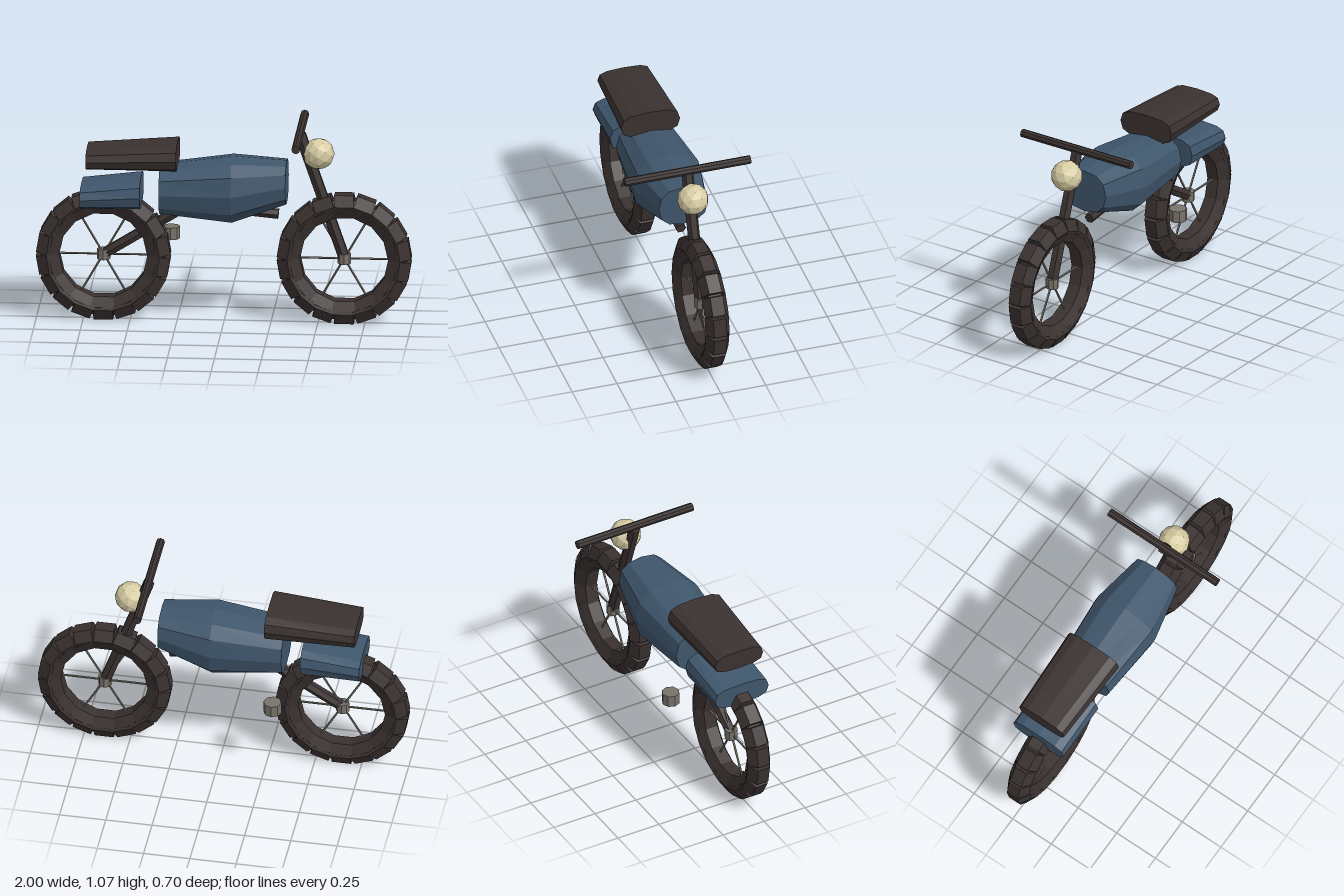
import * as THREE from 'three';

const flat = (name, color) => {
  const m = new THREE.MeshStandardMaterial({ color, flatShading: true });
  m.name = name;
  return m;
};

export function createModel() {
  const rubber = flat('dark rubber', 0x3a3230);
  const paint = flat('blue paint', 0x3f566c);
  const metal = flat('grey metal', 0x78736a);
  const lens = flat('pale lens', 0xd8cda4);
  const root = new THREE.Group();
  root.name = 'motorcycle';

  const add = (parent, name, geo, mat, x = 0, y = 0, z = 0) => {
    const mesh = new THREE.Mesh(geo, mat);
    mesh.name = name;
    mesh.position.set(x, y, z);
    parent.add(mesh);
    return mesh;
  };

  // Straight round bar between two points
  const bar = (parent, name, a, b, r, mat, sides = 6) => {
    const p = new THREE.Vector3(...a), q = new THREE.Vector3(...b);
    const mesh = add(parent, name, new THREE.CylinderGeometry(r, r, p.distanceTo(q), sides), mat);
    mesh.position.copy(p).add(q).multiplyScalar(0.5);
    mesh.quaternion.setFromUnitVectors(new THREE.Vector3(0, 1, 0), q.sub(p).normalize());
    return mesh;
  };

  // Closed body lofted along x; sections are [x, centreY, halfHeight, halfWidth]
  const loft = (sections, power, sides = 12) => {
    const pos = [], idx = [];
    const soft = (v) => Math.sign(v) * Math.pow(Math.abs(v), power);
    for (const [x, cy, hh, hw] of sections) {
      for (let i = 0; i < sides; i++) {
        const a = (i / sides) * Math.PI * 2;
        pos.push(x, cy + hh * soft(Math.sin(a)), hw * soft(Math.cos(a)));
      }
    }
    const last = (sections.length - 1) * sides;
    for (let s = 0; s < last; s += sides) {
      for (let i = 0; i < sides; i++) {
        const j = (i + 1) % sides;
        idx.push(s + i, s + sides + i, s + j, s + j, s + sides + i, s + sides + j);
      }
    }
    for (let i = 1; i < sides - 1; i++) {
      idx.push(0, i, i + 1, last, last + i + 1, last + i);
    }
    const geo = new THREE.BufferGeometry();
    geo.setAttribute('position', new THREE.Float32BufferAttribute(pos, 3));
    geo.setIndex(idx);
    geo.computeVertexNormals();
    return geo;
  };

  // Tyre ring: six-sided section turned round the axle
  const ring = [[0.235, -0.035], [0.29, -0.062], [0.335, -0.035], [0.335, 0.035], [0.29, 0.062], [0.235, 0.035], [0.235, -0.035]];
  const tyreGeo = new THREE.LatheGeometry(ring.map(([r, z]) => new THREE.Vector2(r, z)), 14);
  tyreGeo.rotateX(Math.PI / 2).rotateZ(Math.PI / 14);

  // Chamfered tread block, pointing along +y
  const blockShape = new THREE.Shape(
    [[-0.06, 0.28], [0.06, 0.28], [0.067, 0.297], [0.035, 0.355], [-0.035, 0.355], [-0.067, 0.297]]
      .map(([x, y]) => new THREE.Vector2(x, y)));
  const blockGeo = new THREE.ExtrudeGeometry(blockShape, { depth: 0.104, bevelEnabled: false });
  blockGeo.translate(0, 0, -0.052).rotateY(Math.PI / 2);

  const wheel = (name, x) => {
    const g = new THREE.Group();
    g.name = name;
    g.position.set(x, 0.355, 0);
    root.add(g);
    add(g, 'tyre', tyreGeo, rubber);
    for (let i = 0; i < 18; i++) {
      add(g, 'treadBlock', blockGeo, rubber).rotation.z = (i / 18) * Math.PI * 2;
    }
    for (let i = 0; i < 6; i++) {
      const a = (i / 6) * Math.PI * 2;
      bar(g, 'spoke', [0, 0, 0], [0.24 * Math.cos(a), 0.24 * Math.sin(a), 0], 0.006, metal, 5);
    }
    add(g, 'hub', new THREE.CylinderGeometry(0.036, 0.036, 0.056, 8), metal);
  };
  wheel('rearWheel', -0.643);
  wheel('frontWheel', 0.64);

  // Bodywork
  add(root, 'tank', loft([
    [-0.34, 0.724, 0.13, 0.165],
    [0.045, 0.73, 0.179, 0.194],
    [0.334, 0.772, 0.118, 0.136],
  ], 0.8), paint);
  add(root, 'rearFender', loft([
    [-0.76, 0.689, 0.063, 0.163],
    [-0.441, 0.709, 0.083, 0.165],
  ], 0.65), paint);
  add(root, 'seat', loft([
    [-0.73, 0.895, 0.055, 0.146],
    [-0.247, 0.913, 0.073, 0.164],
  ], 0.65), rubber);

  // Frame, fork and handlebar
  bar(root, 'swingArm', [-0.643, 0.355, 0], [-0.2, 0.63, 0], 0.03, rubber);
  bar(root, 'frameRail', [-0.2, 0.64, 0], [0.29, 0.593, 0], 0.028, rubber);
  bar(root, 'frontFork', [0.64, 0.355, 0], [0.405, 1.035, 0], 0.033, rubber);
  bar(root, 'handlebar', [0.405, 1.048, -0.35], [0.405, 1.048, 0.35], 0.023, rubber, 8);

  add(root, 'headlight', new THREE.IcosahedronGeometry(0.085, 1), lens, 0.503, 0.93, 0);
  add(root, 'sideCylinder', new THREE.CylinderGeometry(0.048, 0.048, 0.066, 8), metal, -0.295, 0.432, -0.173);

  return root;
}
